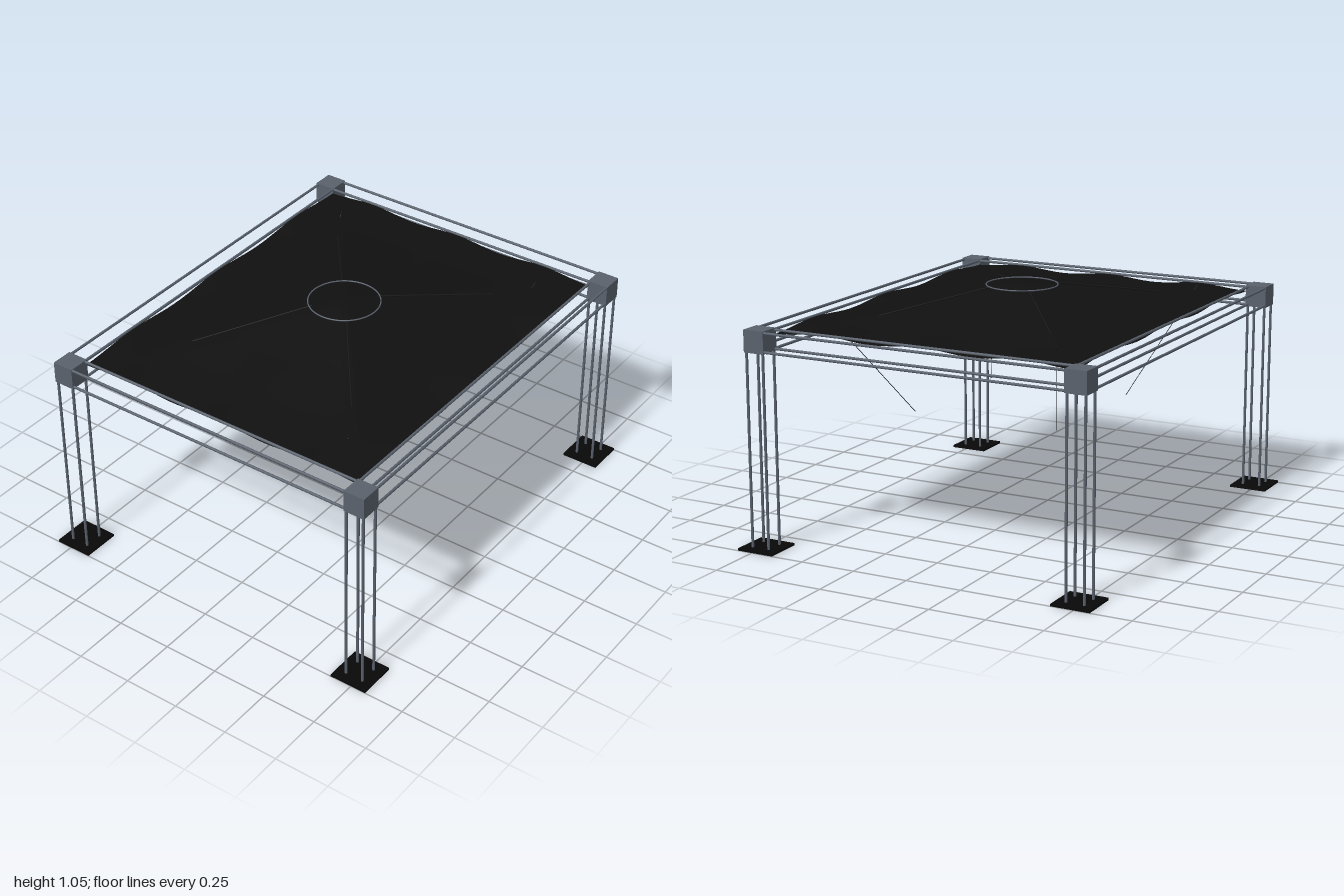
import * as THREE from 'three';

const material = (name, color, side = THREE.FrontSide) => {
  const m = new THREE.MeshStandardMaterial({ color, side });
  m.name = name;
  return m;
};

export function createModel() {
  const model = new THREE.Group();
  model.name = 'trussCanopy';
  const steel = material('steel grey', 0x59616c);
  const black = material('plate black', 0x080808);
  const fabric = material('canopy black', 0x101010, THREE.DoubleSide);
  const cable = material('cable dark', 0x181818);

  const CX = 0.915, CZ = 0.735; // corner tower centres
  const HALF = 0.04;            // tube offset from the truss axis
  const R = 0.006;

  const add = (parent, name, geometry, mat, x = 0, y = 0, z = 0) => {
    const mesh = new THREE.Mesh(geometry, mat);
    mesh.name = name;
    mesh.position.set(x, y, z);
    parent.add(mesh);
    return mesh;
  };
  // Round bar between two points
  const bar = (parent, name, a, b, radius, mat) => {
    const from = new THREE.Vector3(...a), to = new THREE.Vector3(...b);
    const dir = to.clone().sub(from);
    const mesh = add(parent, name, new THREE.CylinderGeometry(radius, radius, dir.length(), 10), mat);
    mesh.position.copy(from).add(to).multiplyScalar(0.5);
    mesh.quaternion.setFromUnitVectors(new THREE.Vector3(0, 1, 0), dir.normalize());
  };

  // Four towers: base plate, four tubes and a corner block; plus cables
  for (const sx of [-1, 1]) for (const sz of [-1, 1]) {
    const tower = new THREE.Group();
    tower.name = 'tower';
    model.add(tower);
    add(tower, 'basePlate', new THREE.BoxGeometry(0.17, 0.01, 0.17), black, sx * CX, 0.005, sz * CZ);
    add(tower, 'cornerBlock', new THREE.BoxGeometry(0.096, 0.096, 0.096), steel, sx * CX, 0.897, sz * CZ);
    for (const dx of [-HALF, HALF]) for (const dz of [-HALF, HALF]) {
      const x = sx * CX + dx, z = sz * CZ + dz;
      bar(tower, 'legTube', [x, 0.01, z], [x, 0.86, z], R, steel);
    }
    bar(model, 'ridgeCable', [sx * 0.11, 1.038, sz * 0.09], [sx * 0.52, 0.955, sz * 0.41], 0.003, cable);
    bar(model, 'guyCable', [sx * 0.34, 0.51, sz * 0.34], [sx * 0.7, 0.96, sz * 0.52], 0.0015, cable);
  }

  // Four-tube beams on each side
  for (const s of [-1, 1]) for (const d of [-HALF, HALF]) for (const y of [0.857, 0.937]) {
    const z = s * CZ + d, x = s * CX + d;
    bar(model, 'longBeamTube', [-0.87, y, z], [0.87, y, z], R, steel);
    bar(model, 'sideBeamTube', [x, y, -0.69], [x, y, 0.69], R, steel);
  }

  // Fabric roof: a soft peak with a gently rippled hem
  const W = 0.87, D = 0.69;
  const profile = [[0, 1], [0.2, 0.74], [0.45, 0.4], [0.75, 0.1], [1, 0]];
  const rise = (t) => {
    const i = Math.max(1, profile.findIndex((p) => p[0] >= t - 1e-6));
    const [a, b] = [profile[i - 1], profile[i]];
    return a[1] + (b[1] - a[1]) * (t - a[0]) / (b[0] - a[0]);
  };
  const roof = new THREE.PlaneGeometry(2 * W, 2 * D, 40, 40).rotateX(-Math.PI / 2);
  const p = roof.attributes.position;
  for (let i = 0; i < p.count; i++) {
    const u = Math.abs(p.getX(i)) / W, v = Math.abs(p.getZ(i)) / D;
    const t = Math.min(1, Math.max(u, v));
    const ripple = 0.008 * Math.cos(3 * Math.PI * Math.min(u, v)) * t ** 4;
    p.setY(i, 0.927 + 0.12 * rise(t) + ripple);
  }
  roof.computeVertexNormals();
  add(model, 'canopy', roof, fabric);

  // Crown ring
  add(model, 'crownRing', new THREE.TorusGeometry(0.155, 0.003, 8, 48).rotateX(Math.PI / 2), steel, 0, 1.039, 0);

  return model;
}
